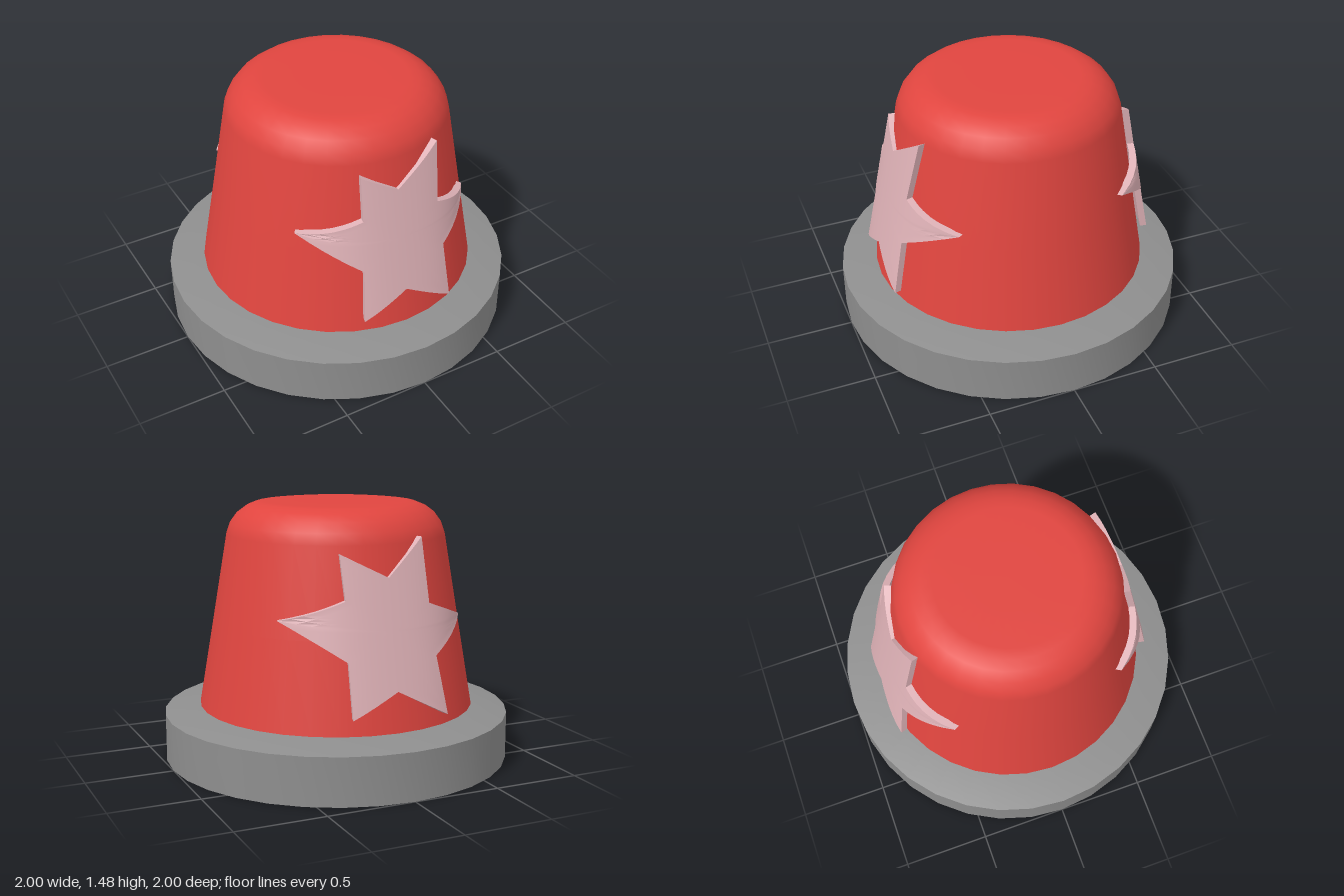
import * as THREE from 'three';
import { toCreasedNormals, mergeVertices } from 'three/addons/utils/BufferGeometryUtils.js';

const red = new THREE.MeshStandardMaterial({ name: 'red', color: 0xe0453f });
const grey = new THREE.MeshStandardMaterial({ name: 'grey', color: 0x8e8e8e });
const pink = new THREE.MeshStandardMaterial({ name: 'pink', color: 0xdfb2b7 });

const profile = (points) => points.map(([r, y]) => new THREE.Vector2(r, y));

// Outer face of a star, bent around the tapering dome
const bend = (x, y) => 0.906 - 0.205 * y - 0.29 * x * x - 1.88 * x ** 4;

// Curved star plate: rings grow from the centre to the outline, then a rim and a back
function starGeometry(outline, thickness = 0.037, rings = 8, steps = 6) {
  const cy = 0.85;
  const edge = [];
  outline.forEach(([x, y], i) => {
    const [nx, ny] = outline[(i + 1) % outline.length];
    for (let s = 0; s < steps; s++) {
      const t = s / steps;
      edge.push([x + (nx - x) * t, y + (ny - y) * t]);
    }
  });
  const n = edge.length;
  const positions = [];
  const index = [];
  const addRing = (t, back) => {
    for (const [ex, ey] of edge) {
      const x = ex * t;
      const y = cy + (ey - cy) * t;
      const z = bend(x, y);
      positions.push(back ? x * 0.96 : x, y, back ? z - thickness : z);
    }
  };
  for (let r = 0; r <= rings; r++) addRing(r / rings, false);
  for (let r = rings; r >= 0; r--) addRing(r / rings, true);
  // The outline runs anticlockwise seen from the front
  for (let r = 0; r < 2 * rings + 1; r++) {
    for (let i = 0; i < n; i++) {
      const j = (i + 1) % n;
      const a = r * n + i, b = r * n + j, c = a + n, d = b + n;
      if (r !== 0) index.push(a, d, b);
      if (r !== 2 * rings) index.push(a, c, d);
    }
  }
  const geometry = new THREE.BufferGeometry();
  geometry.setAttribute('position', new THREE.Float32BufferAttribute(positions, 3));
  geometry.setIndex(index);
  return toCreasedNormals(mergeVertices(geometry, 1e-5), 0.6);
}

export function createModel() {
  const model = new THREE.Group();
  model.name = 'starDome';
  const add = (name, geometry, material) => {
    const mesh = new THREE.Mesh(geometry, material);
    mesh.name = name;
    model.add(mesh);
    return mesh;
  };

  // Round foot with a gently sloping upper face
  const base = new THREE.LatheGeometry(
    profile([[0, 0], [1, 0], [1, 0.27], [0.79, 0.313], [0, 0.313]]), 32);
  add('base', toCreasedNormals(base, 0.5), grey);

  // Tapered dome with a rounded shoulder
  add('dome', new THREE.LatheGeometry(profile([
    [0.796, 0.305], [0.71, 0.805], [0.626, 1.3], [0.605, 1.36], [0.565, 1.415],
    [0.515, 1.452], [0.46, 1.474], [0.4, 1.48], [0.2, 1.48], [0, 1.48],
  ]), 32), red);

  // Hand-cut stars, one on each face
  const frontOutline = [
    [-0.01, 1.13], [-0.215, 1.245], [-0.225, 1.0], [-0.53, 0.915], [-0.245, 0.71], [-0.27, 0.41],
    [-0.01, 0.54], [0.28, 0.38], [0.26, 0.705], [0.535, 0.87], [0.24, 0.97], [0.265, 1.31],
  ];
  const backOutline = [
    [0, 1.13], [-0.26, 1.26], [-0.25, 1.02], [-0.55, 0.905], [-0.26, 0.705], [-0.26, 0.41],
    [0, 0.54], [0.31, 0.38], [0.26, 0.7], [0.53, 0.87], [0.24, 0.98], [0.225, 1.33],
  ];
  add('frontStar', starGeometry(frontOutline), pink);
  add('backStar', starGeometry(backOutline), pink).rotation.y = Math.PI;

  return model;
}
